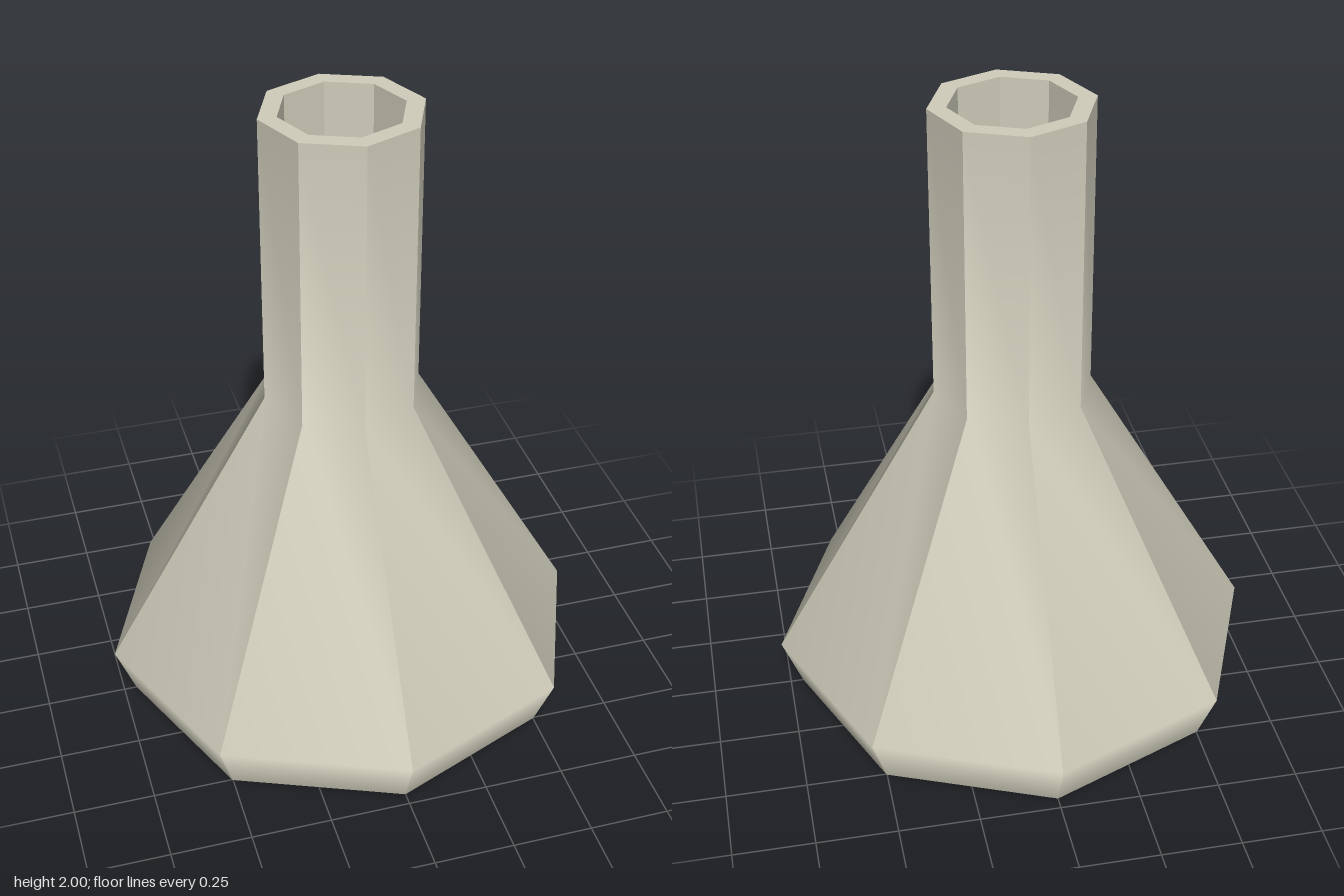
import * as THREE from 'three';
import { mergeGeometries } from 'three/addons/utils/BufferGeometryUtils.js';

const SIDES = 8;

// Eight separate panels: smooth along the profile, sharp between sides
function facetedShell(profile) {
  const points = profile.map(([r, y]) => new THREE.Vector2(r, y));
  const step = (Math.PI * 2) / SIDES;
  const panels = [];
  for (let i = 0; i < SIDES; i++) {
    const panel = new THREE.LatheGeometry(points, 1, i * step, step);
    panel.computeVertexNormals();
    panels.push(panel);
  }
  return mergeGeometries(panels);
}

export function createModel() {
  const model = new THREE.Group();
  model.name = 'flask';
  const clay = new THREE.MeshStandardMaterial({ color: 0xd0cdbb });
  clay.name = 'paleClay';

  const baseR = 0.71, bellyR = 0.772, neckR = 0.247, boreR = 0.19;
  const bellyY = 0.16, shoulderY = 1.07, topY = 2;

  const add = (name, geometry, y = 0) => {
    const mesh = new THREE.Mesh(geometry, clay);
    mesh.name = name;
    mesh.position.y = y;
    model.add(mesh);
  };

  // Outer wall: chamfered foot, tapering body, straight neck
  add('body', facetedShell([[baseR, 0], [bellyR, bellyY], [neckR, shoulderY], [neckR, topY]]));

  // Bore inside the neck, profile runs downward so it faces inward
  add('neckBore', facetedShell([[boreR, topY], [boreR, shoulderY]]));
  add('boreFloor', new THREE.CircleGeometry(boreR, SIDES).rotateX(-Math.PI / 2), shoulderY);

  // Flat rim and underside
  add('rim', new THREE.RingGeometry(boreR, neckR, SIDES).rotateX(-Math.PI / 2), topY);
  add('underside', new THREE.CircleGeometry(baseR, SIDES).rotateX(Math.PI / 2));

  return model;
}
